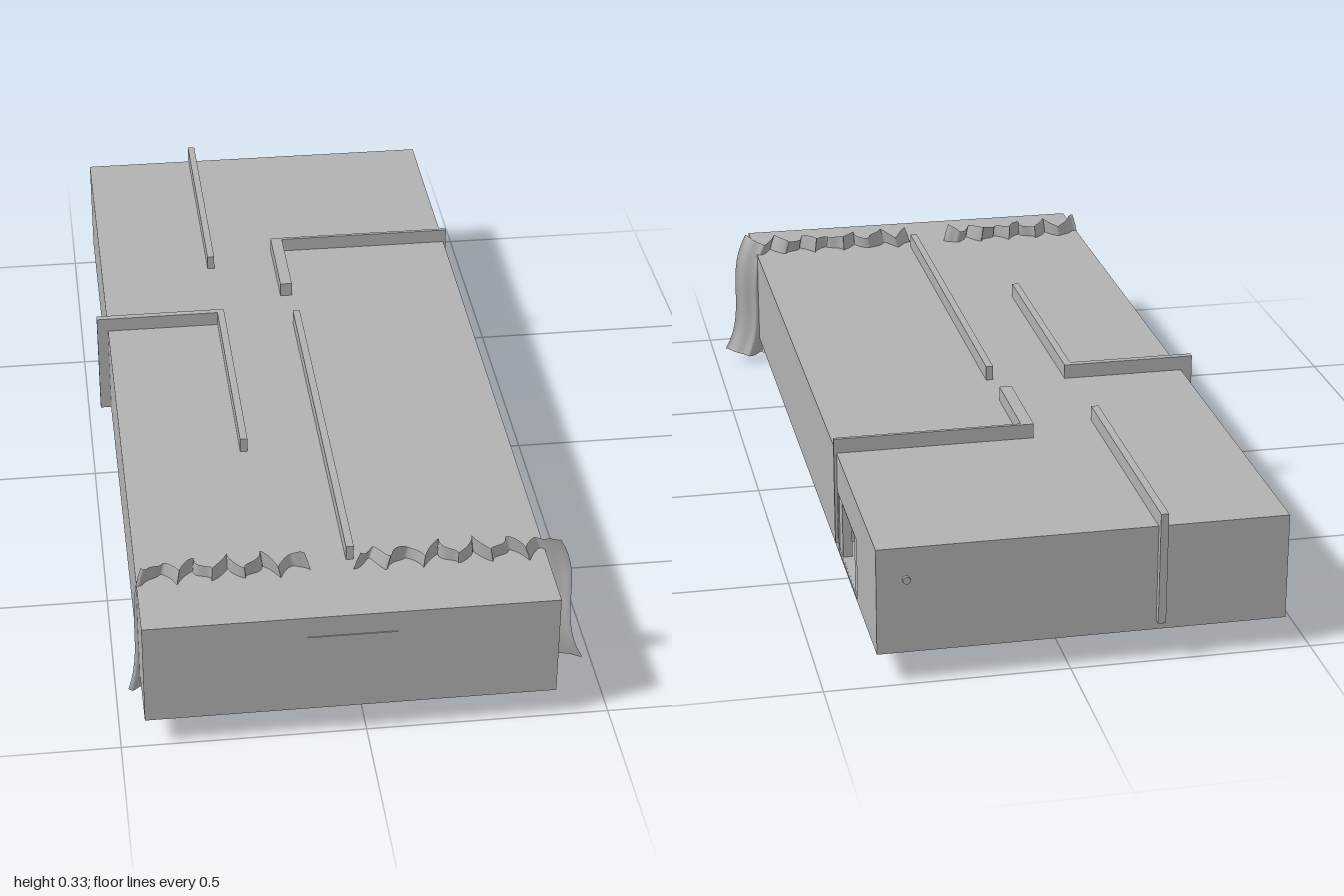
import * as THREE from 'three';

const grey = new THREE.MeshStandardMaterial({ color: 0xb2b2b2 });
grey.name = 'plain grey';
const greyCloth = grey;
greyCloth.side = THREE.DoubleSide;

// Box given by its min and max corners
function block(parent, name, [x0, x1], [y0, y1], [z0, z1]) {
  const mesh = new THREE.Mesh(new THREE.BoxGeometry(x1 - x0, y1 - y0, z1 - z0), grey);
  mesh.position.set((x0 + x1) / 2, (y0 + y1) / 2, (z0 + z1) / 2);
  mesh.name = name;
  parent.add(mesh);
  return mesh;
}

function rect(Type, a0, a1, b0, b1) {
  const p = new Type();
  p.moveTo(a0, b0).lineTo(a1, b0).lineTo(a1, b1).lineTo(a0, b1).closePath();
  return p;
}

// Upright panel facing +x with a rectangular opening; outer and hole are [z0, z1, y0, y1]
function panelWithOpening(parent, name, outer, hole, x, depth) {
  const shape = rect(THREE.Shape, -outer[1], -outer[0], outer[2], outer[3]);
  shape.holes.push(rect(THREE.Path, -hole[1], -hole[0], hole[2], hole[3]));
  const geo = new THREE.ExtrudeGeometry(shape, { depth, bevelEnabled: false });
  geo.rotateY(Math.PI / 2);
  const mesh = new THREE.Mesh(geo, grey);
  mesh.position.x = x - depth;
  mesh.name = name;
  parent.add(mesh);
}

// Rippled cloth that flares to the bottom; top and bottom are [x0, x1]
function curtain(parent, name, top, bottom, ripples, phase) {
  const geo = new THREE.PlaneGeometry(1, 1, 96, 14);
  const pos = geo.attributes.position;
  for (let i = 0; i < pos.count; i++) {
    const u = pos.getX(i) + 0.5, t = pos.getY(i) + 0.5;
    const s = 0.5 + 4 * (t - 0.5) ** 3;
    const x0 = bottom[0] + (top[0] - bottom[0]) * s;
    const x1 = bottom[1] + (top[1] - bottom[1]) * s;
    const a = u * ripples * Math.PI * 2 + phase;
    const yBottom = 0.03 * (2 * u - 1) ** 2;
    const yTop = 0.322 + 0.006 * Math.sin(a * 0.8 + 1) + 0.006 * (2 * u - 1) ** 8;
    const amp = 0.013 + 0.006 * Math.abs(2 * t - 1);
    pos.setXYZ(i,
      x0 + (x1 - x0) * u + 0.006 * Math.sin(2 * a) * u * (1 - u) * 4,
      yBottom + (yTop - yBottom) * t,
      0.833 + amp * (Math.sin(a) + 0.35 * Math.sin(a * 1.7 + phase)));
  }
  geo.computeVertexNormals();
  const mesh = new THREE.Mesh(geo, greyCloth);
  mesh.name = name;
  parent.add(mesh);
}

export function createModel() {
  const model = new THREE.Group();
  model.name = 'floorPlanBlock';

  // Hollow building shell
  const shell = new THREE.Group();
  shell.name = 'shell';
  model.add(shell);
  const X = [-0.45, 0.39], Y = [0.063, 0.29], Z = [-0.985, 0.998], w = 0.006;
  block(shell, 'floor', X, [Y[0], Y[0] + w], Z);
  block(shell, 'roof', X, [Y[1] - w, Y[1]], Z);
  const inner = [Y[0] + w, Y[1] - w];
  block(shell, 'leftSide', [X[0], X[0] + w], inner, Z);
  block(shell, 'frontSide', [X[0] + w, X[1] - w], inner, [Z[1] - w, Z[1]]);
  block(shell, 'backSide', [X[0] + w, X[1] - w], inner, [Z[0], Z[0] + w]);
  const niche = [-0.745, -0.5, inner[0], 0.203];
  panelWithOpening(shell, 'sideWithOpening', [Z[0], Z[1], ...inner], niche, X[1], w);

  // Side opening: recessed surround and a small step inside
  panelWithOpening(model, 'openingSurround', niche, [-0.7, -0.54, 0.0695, 0.192], X[1] - 0.003, 0.02);
  block(model, 'openingStep', [0.35, 0.37], [0.069, 0.1], [-0.7, -0.67]);

  // Front door plate
  block(model, 'frontDoor', [-0.12, 0.06], [0.066, 0.243], [0.997, 1.0]);

  // Partition walls rising through the roof
  const walls = new THREE.Group();
  walls.name = 'partitionWalls';
  model.add(walls);
  [
    [[-0.195, -0.179], [-1.0, -0.42]],
    [[-0.475, -0.179], [-0.17, -0.155]],
    [[-0.195, -0.179], [-0.155, 0.387]],
    [[-0.02, -0.004], [-0.145, 0.81]],
    [[-0.035, -0.008], [-0.486, -0.27]],
    [[-0.035, 0.396], [-0.494, -0.486]],
  ].forEach(([x, z], i) => block(walls, 'partitionWall' + (i + 1), x, [0.082, 0.322], z));

  // Small knob on the back
  const knob = new THREE.Mesh(new THREE.CylinderGeometry(0.008, 0.008, 0.008, 16), grey);
  knob.rotation.x = Math.PI / 2;
  knob.position.set(0.33, 0.222, -0.988);
  knob.name = 'backKnob';
  model.add(knob);

  // Curtains near the front
  curtain(model, 'rightCurtain', [-0.44, -0.108], [-0.475, -0.07], 5, 0.6);
  curtain(model, 'leftCurtain', [0.005, 0.415], [-0.04, 0.475], 6, 2.1);

  return model;
}
